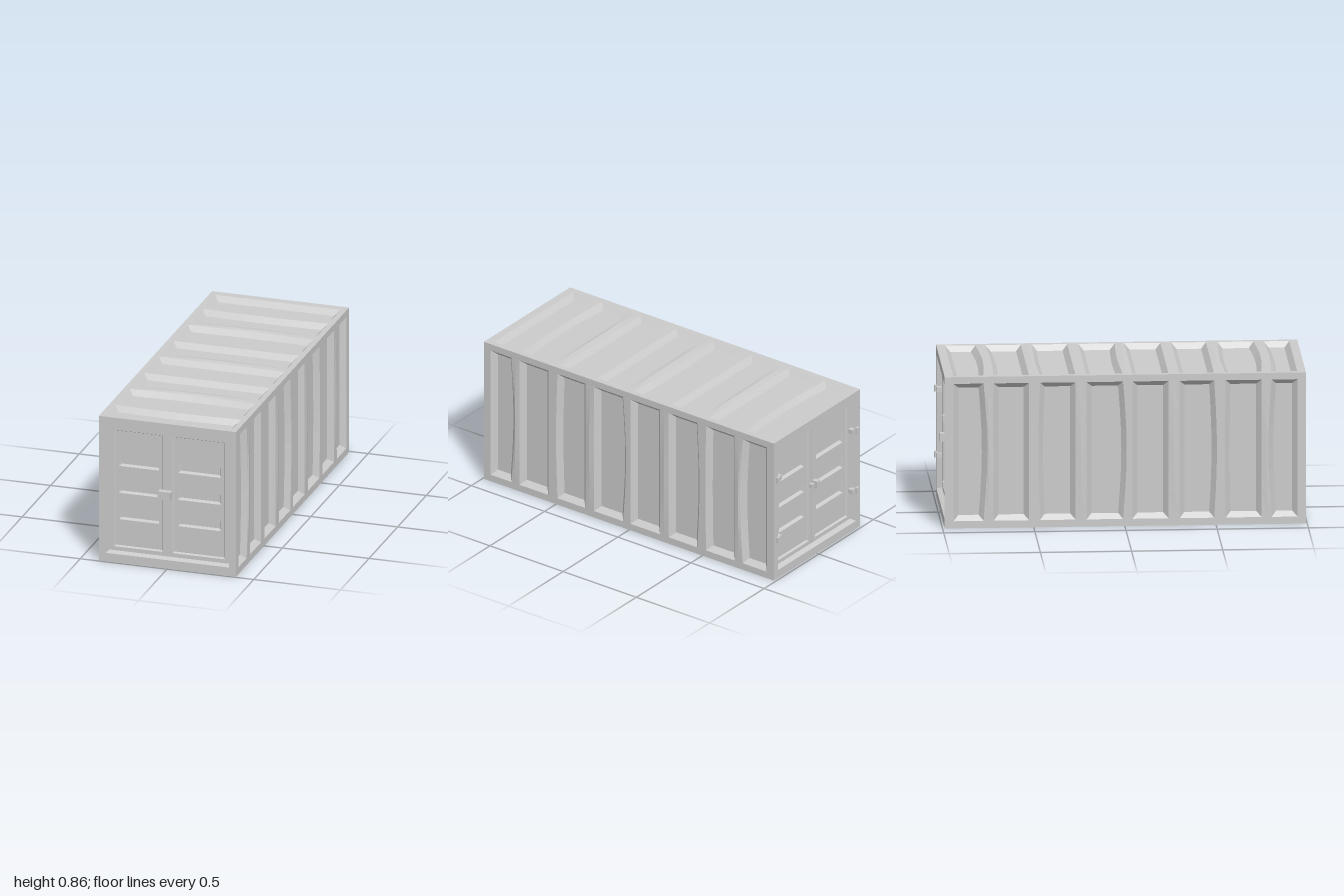
import * as THREE from 'three';

const W = 0.395, H = 0.85, BACK = -0.988, FRONT = 0.993, DEPTH = 0.03, INSET = 0.028;

// Start and end of the eight recessed panels along z
const PANELS = [[-0.94, -0.775], [-0.72, -0.525], [-0.465, -0.27], [-0.21, -0.01],
  [0.042, 0.24], [0.3, 0.49], [0.553, 0.75], [0.805, 0.947]];

const material = () => new THREE.MeshStandardMaterial({ color: 0xcccccc, flatShading: true });

function trianglesMesh(name, points) {
  const geometry = new THREE.BufferGeometry().setFromPoints(points);
  geometry.computeVertexNormals();
  const mesh = new THREE.Mesh(geometry, material());
  mesh.name = name;
  return mesh;
}

// Long wall: a grid whose inner cells sink into sloped recesses.
// across = [outer, panel start, panel end, outer]; bends = sideways dents of each
// panel's two edges; bulges = ribs that swell outwards; place(u, v, h) maps to space.
function ribbedWall(name, across, bends, bulges, flip, place) {
  const [v0, va, vb, v1] = across;
  const rows = [v0, va];
  for (let i = 0; i <= 6; i++) rows.push(va + INSET + (vb - va - 2 * INSET) * i / 6);
  rows.push(vb, v1);

  const columns = [{ u: BACK }];
  PANELS.forEach(([a, b], i) => {
    const [bendA, bendB] = bends[i] || [0, 0];
    columns.push({ u: a, bend: bendA }, { u: a + INSET, bend: bendA, deep: true },
      { u: b - INSET, bend: bendB, deep: true }, { u: b, bend: bendB });
    if (i < 7) columns.push({ u: (b + PANELS[i + 1][0]) / 2, bulge: bulges.includes(i) ? 0.005 : 0 });
  });
  columns.push({ u: FRONT });

  const grid = columns.map(c => rows.map((v, j) => {
    const swell = Math.sin(Math.PI * THREE.MathUtils.clamp((v - va) / (vb - va), 0, 1));
    const deep = c.deep && j >= 2 && j <= rows.length - 3;
    const h = deep ? -DEPTH : (c.bulge || 0) * swell;
    return { h: deep ? 1 : 0, p: place(c.u + (c.bend || 0) * swell, v, h) };
  }));

  const points = [];
  const tri = (a, b, c) => points.push(...(flip ? [a.p, c.p, b.p] : [a.p, b.p, c.p]));
  for (let i = 0; i < columns.length - 1; i++) {
    for (let j = 0; j < rows.length - 1; j++) {
      const a = grid[i][j], b = grid[i + 1][j], c = grid[i + 1][j + 1], d = grid[i][j + 1];
      // Mitre the recess corners along the right diagonal
      if (a.h !== c.h) { tri(a, b, c); tri(a, c, d); }
      else { tri(a, b, d); tri(b, c, d); }
    }
  }
  return trianglesMesh(name, points);
}

// Rectangles are [x0, y0, x1, y1]
const shrink = ([x0, y0, x1, y1], s) => [x0 + s, y0 + s, x1 - s, y1 - s];
const corners = ([x0, y0, x1, y1], z) => [[x0, y0], [x1, y0], [x1, y1], [x0, y1]].map(([x, y]) => new THREE.Vector3(x, y, z));

function plate(name, rect, holes, z) {
  const outline = r => corners(r, 0).map(p => new THREE.Vector2(p.x, p.y));
  const shape = new THREE.Shape(outline(rect));
  holes.forEach(r => shape.holes.push(new THREE.Path(outline(r))));
  const mesh = new THREE.Mesh(new THREE.ShapeGeometry(shape), material());
  mesh.position.z = z;
  mesh.name = name;
  return mesh;
}

// Sloped sides and floor of one rectangular recess
function recess(name, rect, z, inset, depth, holes = []) {
  const group = new THREE.Group();
  group.name = name;
  const inner = shrink(rect, inset);
  const o = corners(rect, z), n = corners(inner, z - depth), points = [];
  for (let i = 0; i < 4; i++) {
    const k = (i + 1) % 4;
    points.push(o[i], o[k], n[k], o[i], n[k], n[i]);
  }
  group.add(trianglesMesh(name + 'Sides', points), plate(name + 'Floor', inner, holes, z - depth));
  return group;
}

function box(name, w, h, d, x, y, z) {
  const mesh = new THREE.Mesh(new THREE.BoxGeometry(w, h, d), material());
  mesh.position.set(x, y, z);
  mesh.name = name;
  return mesh;
}

// End wall with two panelled doors, facing +z
function doorEnd(name, z) {
  const end = new THREE.Group();
  end.name = name;
  const opening = [-0.355, 0.05, 0.355, 0.802];
  const doors = [[-0.316, 0.083, -0.036, 0.767], [0.021, 0.083, 0.32, 0.767]];
  const slotSpans = [[-0.292, -0.062], [0.048, 0.292]];
  const doorZ = z - 0.03, panelZ = doorZ - 0.012;

  end.add(plate('endFrame', [-W, 0, W, H], [opening], z));
  end.add(recess('doorway', opening, z, 0.01, 0.03, doors));
  doors.forEach((door, i) => {
    const slots = [0.24, 0.395, 0.553].map(y => [slotSpans[i][0], y, slotSpans[i][1], y + 0.058]);
    end.add(recess('doorPanel', door, doorZ, 0.006, 0.012, slots));
    slots.forEach(slot => end.add(recess('doorSlot', slot, panelZ, 0.008, 0.02)));
  });
  end.add(box('doorSeam', 0.004, 0.73, 0.004, -0.008, 0.426, doorZ));
  return end;
}

export function createModel() {
  const model = new THREE.Group();
  model.name = 'shippingContainer';
  const V = (x, y, z) => new THREE.Vector3(x, y, z);

  // Walls, roof and floor
  const sideRows = [0, 0.04, 0.812, H], flatRows = [-W, -0.362, 0.362, W];
  const sideBends = [[0, 0.018], [0, 0.005], [-0.015, 0], [0, 0], [-0.02, 0], [0, 0.01], [0, 0], [-0.02, 0]];
  const roofBends = [[0, 0.018], [0.01, 0], [-0.008, 0], [0, -0.01], [0, 0], [0, 0], [-0.012, 0.018], [0.012, 0]];
  const otherBends = sideBends.map((_, i) => sideBends[7 - i].map(b => -b).reverse());
  model.add(
    ribbedWall('leftWall', sideRows, sideBends, [0, 2, 4, 6], true, (u, v, h) => V(W + h, v, u)),
    ribbedWall('rightWall', sideRows, otherBends, [0, 2, 4, 6], false, (u, v, h) => V(-W - h, v, u)),
    ribbedWall('roof', flatRows, roofBends, [1, 3, 5], false, (u, v, h) => V(v, H + h, u)),
    ribbedWall('floor', flatRows, [], [], true, (u, v, h) => V(v, -h, u)));

  // Front doors and latch
  model.add(doorEnd('frontDoors', FRONT));
  model.add(box('frontLatch', 0.072, 0.048, 0.037, -0.018, 0.425, 0.979));

  // Back doors with latch and hinges
  const back = doorEnd('backDoors', -BACK);
  back.rotation.y = Math.PI;
  back.add(box('backLatch', 0.03, 0.045, 0.034, 0.008, 0.425, 0.975));
  back.add(box('backLatchBar', 0.05, 0.022, 0.02, -0.008, 0.425, 0.968));
  for (const side of [-1, 1]) {
    for (const y of [0.241, 0.613]) {
      back.add(box('hingeKnuckle', 0.025, 0.034, 0.04, side * 0.362, y, 0.98));
      back.add(box('hingeLeaf', 0.04, 0.026, 0.03, side * 0.342, y, 0.975));
    }
  }
  model.add(back);
  return model;
}
